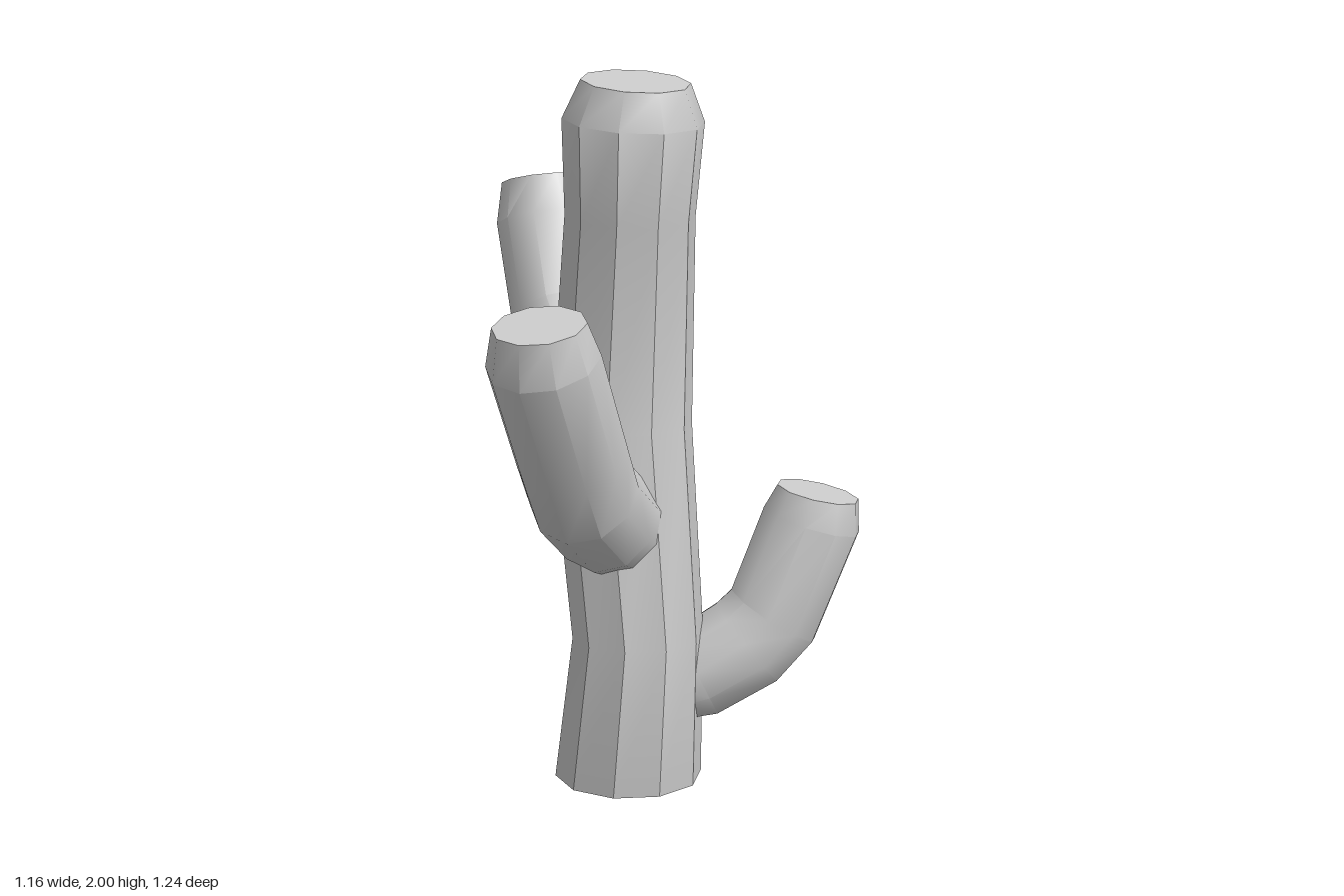
import * as THREE from 'three';
import { toCreasedNormals } from 'three/addons/utils/BufferGeometryUtils.js';

const SIDES = 10;
const material = new THREE.MeshStandardMaterial({ color: 0xcccccc });

// Closed ten-sided limb through rings [x, y, z, radius]; every ring faces along the path.
function limb(name, rings, side, startDir, crease) {
  const centres = rings.map(([x, y, z]) => new THREE.Vector3(x, y, z));
  const last = rings.length - 1;
  const positions = [];
  const index = [];
  const dirBetween = (a, b) => centres[b].clone().sub(centres[a]).normalize();

  centres.forEach((c, i) => {
    const t = new THREE.Vector3();
    if (i > 0) t.add(dirBetween(i - 1, i));
    if (i < last) t.add(dirBetween(i, i + 1));
    if (i === 0 && startDir) t.copy(startDir);
    t.normalize();
    const u = side.clone().addScaledVector(t, -side.dot(t)).normalize();
    const v = new THREE.Vector3().crossVectors(t, u);
    for (let j = 0; j < SIDES; j++) {
      const a = (j / SIDES) * Math.PI * 2 + Math.PI / 2;
      const p = c.clone()
        .addScaledVector(u, Math.cos(a) * rings[i][3])
        .addScaledVector(v, Math.sin(a) * rings[i][3]);
      positions.push(p.x, p.y, p.z);
    }
  });

  // Walls
  for (let i = 0; i < last; i++) {
    for (let j = 0; j < SIDES; j++) {
      const k = (j + 1) % SIDES;
      const a = i * SIDES + j, b = i * SIDES + k;
      index.push(a, b, b + SIDES, a, b + SIDES, a + SIDES);
    }
  }
  // End caps
  const start = positions.length / 3;
  for (const c of [centres[0], centres[last]]) positions.push(c.x, c.y, c.z);
  for (let j = 0; j < SIDES; j++) {
    const k = (j + 1) % SIDES;
    index.push(start, k, j);
    index.push(start + 1, last * SIDES + j, last * SIDES + k);
  }

  const geometry = new THREE.BufferGeometry();
  geometry.setAttribute('position', new THREE.Float32BufferAttribute(positions, 3));
  geometry.setIndex(index);
  const mesh = new THREE.Mesh(toCreasedNormals(geometry, crease), material);
  mesh.name = name;
  return mesh;
}

// Arm: its sideways axis is horizontal and square to the direction it grows in.
function arm(name, rings) {
  const [a, b] = [rings[0], rings[rings.length - 1]];
  const side = new THREE.Vector3(b[2] - a[2], 0, a[0] - b[0]).normalize();
  return limb(name, rings, side, null, 0.66);
}

export function createModel() {
  const group = new THREE.Group();
  group.name = 'cactus';

  // Gently bent trunk with a bevelled top
  group.add(limb('trunk', [
    [-0.03, 0, 0.105, 0.21],
    [-0.03, 0.43, 0.17, 0.185],
    [-0.025, 1.01, 0.045, 0.2],
    [-0.03, 1.61, 0.115, 0.18],
    [-0.03, 1.87, 0.135, 0.195],
    [-0.03, 1.975, 0.15, 0.15],
  ], new THREE.Vector3(1, 0, 0), new THREE.Vector3(0, 1, 0), 0.61));

  // Three arms that leave the trunk and turn upward
  group.add(arm('backArm', [
    [-0.03, 1.06, 0, 0.125],
    [-0.03, 1.1, -0.12, 0.14],
    [-0.03, 1.19, -0.3, 0.145],
    [-0.03, 1.27, -0.38, 0.145],
    [-0.03, 1.53, -0.485, 0.145],
    [-0.03, 1.642, -0.515, 0.118],
  ]));
  group.add(arm('rightArm', [
    [-0.1, 0.76, 0.17, 0.145],
    [-0.15, 0.79, 0.215, 0.152],
    [-0.25, 0.885, 0.3, 0.152],
    [-0.31, 1.01, 0.36, 0.152],
    [-0.437, 1.3, 0.472, 0.152],
    [-0.455, 1.397, 0.49, 0.124],
  ]));
  group.add(arm('leftArm', [
    [0.06, 0.27, 0.17, 0.11],
    [0.14, 0.305, 0.19, 0.138],
    [0.28, 0.39, 0.235, 0.145],
    [0.35, 0.47, 0.26, 0.142],
    [0.45, 0.745, 0.295, 0.142],
    [0.465, 0.825, 0.302, 0.118],
  ]));
  return group;
}
